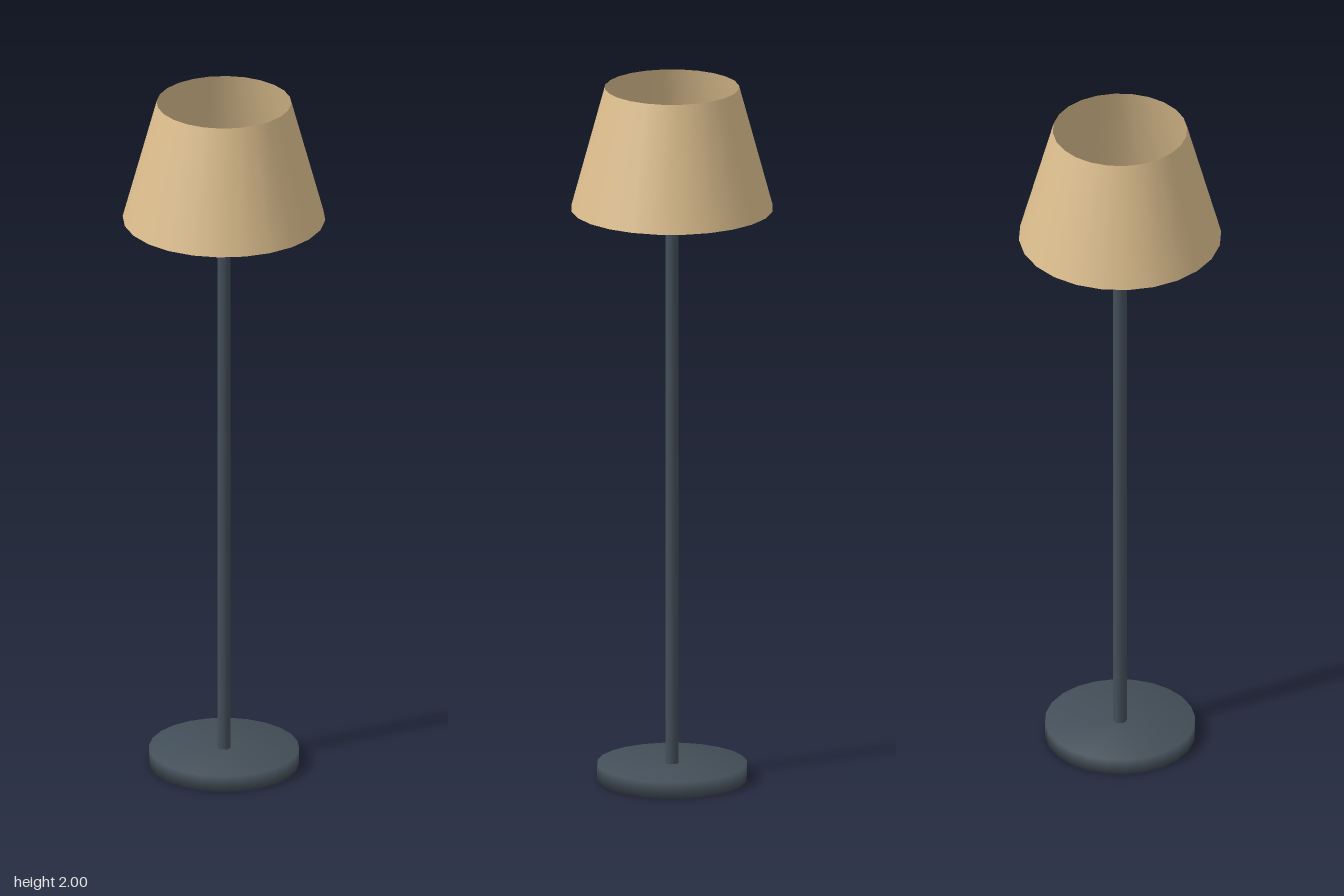
import * as THREE from 'three';
import { mergeVertices } from 'three/addons/utils/BufferGeometryUtils.js';

// Shares normals across edges so that the part shades softly
function soften(geometry) {
  geometry.deleteAttribute('normal');
  geometry.deleteAttribute('uv');
  const merged = mergeVertices(geometry, 1e-4);
  merged.computeVertexNormals();
  return merged;
}

export function createModel() {
  const lamp = new THREE.Group();
  lamp.name = 'floorLamp';

  const metal = new THREE.MeshStandardMaterial({ name: 'dark slate metal', color: 0x434f59 });
  const fabric = new THREE.MeshStandardMaterial({ name: 'warm beige', color: 0xdcbe8e, side: THREE.DoubleSide });

  function add(name, geometry, material, y) {
    const mesh = new THREE.Mesh(geometry, material);
    mesh.name = name;
    mesh.position.y = y;
    lamp.add(mesh);
  }

  // Round foot
  const baseHeight = 0.047;
  add('base', soften(new THREE.CylinderGeometry(0.21, 0.21, baseHeight, 24)), metal, baseHeight / 2);

  // Upright from the foot into the underside of the bulb
  const poleTop = 1.715;
  const poleHeight = poleTop - baseHeight;
  add('pole', new THREE.CylinderGeometry(0.019, 0.019, poleHeight, 10), metal, baseHeight + poleHeight / 2);

  // Bulb, turned so that a corner faces the front
  add('bulb', new THREE.SphereGeometry(0.058, 10, 8, Math.PI / 2), fabric, 1.763);

  // Tapered shade, open at both ends
  add('shade', new THREE.CylinderGeometry(0.188, 0.283, 0.35, 24, 1, true), fabric, 1.825);

  return lamp;
}
